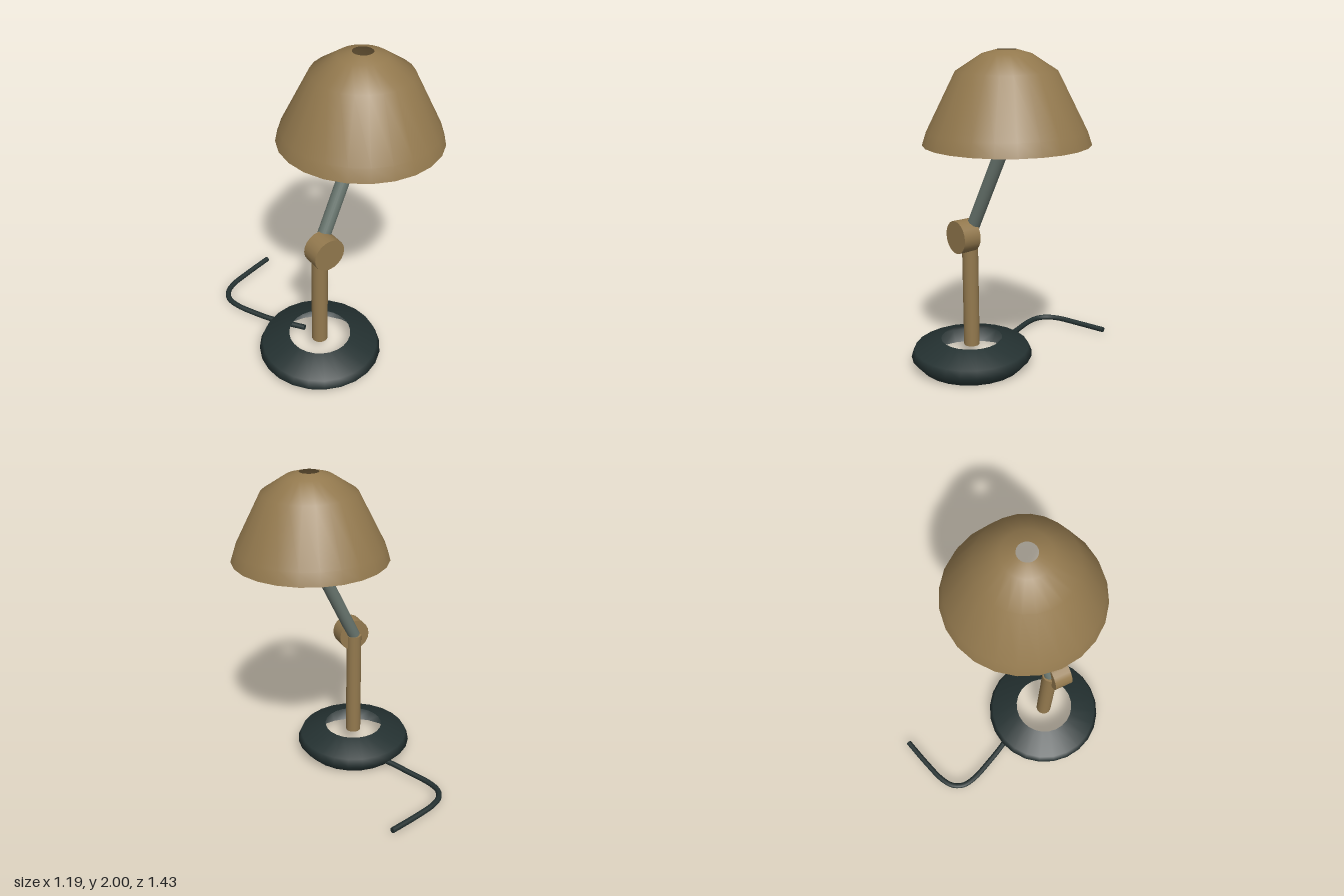
import * as THREE from 'three';

const V = (x, y, z) => new THREE.Vector3(x, y, z);

export function createModel() {
  const lamp = new THREE.Group();
  lamp.name = 'deskLamp';

  const brass = new THREE.MeshStandardMaterial({ color: 0x93794e, side: THREE.DoubleSide });
  brass.name = 'brass';
  const dark = new THREE.MeshStandardMaterial({ color: 0x243131, side: THREE.DoubleSide });
  dark.name = 'darkGreen';
  const steel = new THREE.MeshStandardMaterial({ color: 0x69766f });
  steel.name = 'greySteel';
  const glass = new THREE.MeshStandardMaterial({ color: 0xc2b694 });
  glass.name = 'creamGlass';

  const add = (name, geometry, material, position = V(0, 0, 0)) => {
    const mesh = new THREE.Mesh(geometry, material);
    mesh.name = name;
    mesh.position.copy(position);
    lamp.add(mesh);
    return mesh;
  };
  const lathe = (points) =>
    new THREE.LatheGeometry(points.map(([r, y]) => new THREE.Vector2(r, y)), 24);

  // Round rod running between two points
  const rod = (name, a, b, radius, material) => {
    const mesh = add(name, new THREE.CylinderGeometry(radius, radius, a.distanceTo(b), 20),
      material, a.clone().lerp(b, 0.5));
    mesh.quaternion.setFromUnitVectors(V(0, 1, 0), b.clone().sub(a).normalize());
    return mesh;
  };

  const elbow = V(-0.21, 0.86, 0.28);
  const bulbCentre = V(0.11, 1.51, 0.225);

  // Hollow ring base, open at top and bottom
  add('base', lathe([[0.33, 0], [0.387, 0.065], [0.365, 0.115], [0.195, 0.175]]), dark,
    V(elbow.x, 0, elbow.z));

  // Post, elbow knob and slanted arm
  rod('post', V(elbow.x, 0.13, elbow.z), elbow, 0.05, brass);
  rod('elbowKnob', V(elbow.x, 0.86, 0.27), V(elbow.x, 0.86, 0.385), 0.103, brass);
  rod('arm', elbow, bulbCentre, 0.041, steel);

  // Bulb and open shade with a vent hole on top
  add('bulb', new THREE.SphereGeometry(0.128, 24, 16), glass, bulbCentre);
  add('shade', lathe([[0.486, 1.47], [0.46, 1.548], [0.292, 1.88], [0.142, 1.977], [0.06, 2]]),
    brass, V(bulbCentre.x, 0, bulbCentre.z));

  // Power cord trailing from under the base
  const path = new THREE.CatmullRomCurve3([
    V(-0.2, 0.055, 0.09), V(-0.32, 0.04, -0.1), V(-0.39, 0.032, -0.24), V(-0.45, 0.03, -0.38),
    V(-0.462, 0.03, -0.47), V(-0.43, 0.03, -0.54), V(-0.36, 0.03, -0.59),
    V(-0.22, 0.028, -0.64), V(-0.015, 0.028, -0.7),
  ]);
  const cordRadius = 0.018;
  add('cord', new THREE.TubeGeometry(path, 48, cordRadius, 10), dark);
  for (const t of [0, 1]) {
    const cap = add('cordEnd', new THREE.CircleGeometry(cordRadius, 10), dark, path.getPoint(t));
    const outward = path.getTangent(t).multiplyScalar(t ? 1 : -1);
    cap.quaternion.setFromUnitVectors(V(0, 0, 1), outward);
  }

  return lamp;
}
